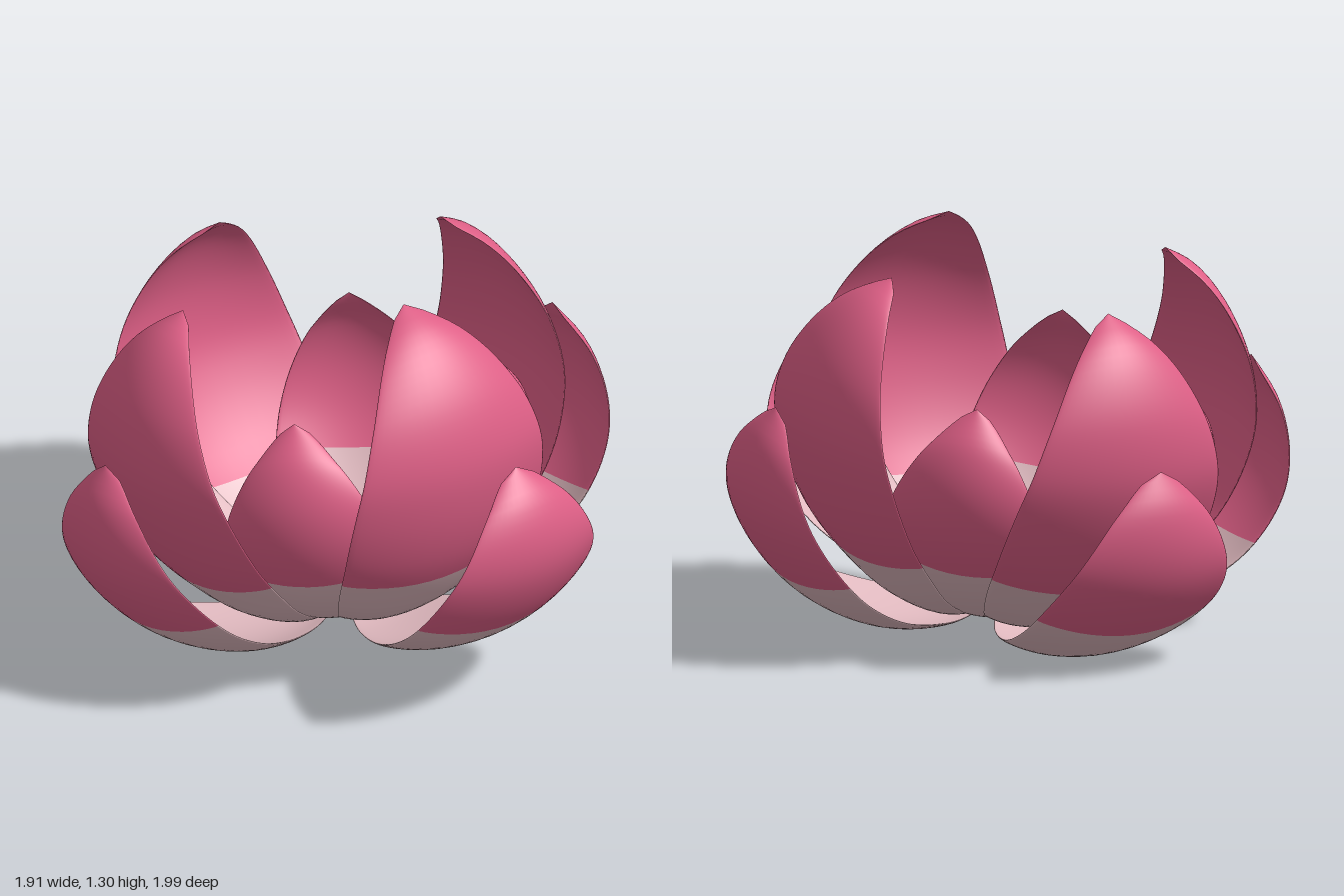
import * as THREE from 'three';

const pink = new THREE.MeshStandardMaterial({ name: 'petalPink', color: 0xde5f86 });
const pale = new THREE.MeshStandardMaterial({ name: 'petalPale', color: 0xdfb8be });
const gold = new THREE.MeshStandardMaterial({ name: 'centreGold', color: 0xdfb83f });

// Each ring: profile of (radius, height) along the petal's spine, plus width and cup
const outer = {
  path: [[0.04, 0.11], [0.25, 0.075], [0.5, 0.1], [0.7, 0.19], [0.84, 0.32], [0.93, 0.47], [0.955, 0.6], [0.935, 0.73], [0.87, 0.84]],
  width: 0.325, cup: 0.075, skew: 1.15, round: 0.6, split: 0.56,
};
const middle = {
  path: [[0.04, 0.11], [0.25, 0.115], [0.4, 0.18], [0.52, 0.28], [0.64, 0.42], [0.73, 0.6], [0.77, 0.77], [0.75, 0.95], [0.68, 1.1], [0.6, 1.19], [0.5, 1.245]],
  width: 0.37, cup: 0.08, skew: 1, round: 0.68, split: 0.35,
};
const inner = {
  path: [[0.04, 0.12], [0.28, 0.15], [0.48, 0.28], [0.61, 0.47], [0.65, 0.65], [0.62, 0.8], [0.53, 0.92]],
  width: 0.275, cup: 0.075, skew: 1, round: 0.65, split: 0.5,
};

// Cupped petal: thin closed cross-sections swept along the spine
function petalGeometry({ path, width, cup, skew, round, split }, rScale, hScale) {
  const spine = new THREE.CatmullRomCurve3(path.map(([r, h]) => new THREE.Vector3(0, h * hScale, r * rScale)));
  const rows = 50, sides = 40, thick = 0.016;
  const pos = [], index = [];
  for (let i = 0; i <= rows; i++) {
    const t = i / rows;
    const p = spine.getPointAt(t), d = spine.getTangentAt(t);
    const bell = Math.max(0, Math.sin(Math.PI * Math.pow(t, skew)));
    const fill = Math.pow(bell, round);
    const th = thick * Math.pow(bell, 0.4);
    for (let j = 0; j < sides; j++) {
      const a = (j / sides) * Math.PI * 2;
      const s = Math.cos(a);
      const lift = cup * s * s * fill + th * (1 + Math.sin(a));
      pos.push(width * fill * s, p.y + d.z * lift, p.z - d.y * lift);
    }
  }
  for (let i = 0; i < rows; i++) {
    for (let j = 0; j < sides; j++) {
      const a = i * sides + j, b = i * sides + ((j + 1) % sides);
      index.push(a, b, a + sides, b, b + sides, a + sides);
    }
  }
  const geo = new THREE.BufferGeometry();
  geo.setAttribute('position', new THREE.Float32BufferAttribute(pos, 3));
  geo.setIndex(index);
  geo.computeVertexNormals();
  // Pale base, pink upper part
  const cut = Math.round(split * rows) * sides * 6;
  geo.addGroup(0, cut, 0);
  geo.addGroup(cut, index.length - cut, 1);
  return geo;
}

export function createModel() {
  const model = new THREE.Group();
  model.name = 'flower';
  const bloom = new THREE.Group();
  bloom.name = 'bloom';
  model.add(bloom);

  const addPetal = (name, ring, angle, rScale = 1, hScale = 1) => {
    const petal = new THREE.Mesh(petalGeometry(ring, rScale, hScale), [pale, pink]);
    petal.name = name;
    petal.rotation.y = angle;
    bloom.add(petal);
  };

  const q = Math.PI / 2;
  // Outer ring, front petal opened a little further
  addPetal('outerPetalFront', outer, 0.06, 1.1, 0.95);
  addPetal('outerPetalLeft', outer, q - 0.03);
  addPetal('outerPetalBack', outer, 2 * q + 0.02);
  addPetal('outerPetalRight', outer, -q + 0.03);
  // Tall middle ring and short diagonal inner ring
  ['Front', 'Left', 'Back', 'Right'].forEach((side, i) => addPetal('middlePetal' + side, middle, i * q));
  ['FrontLeft', 'BackLeft', 'BackRight', 'FrontRight'].forEach((side, i) => addPetal('innerPetal' + side, inner, (i + 0.5) * q));

  // Flattened golden centre
  const centre = new THREE.Mesh(new THREE.SphereGeometry(0.255, 40, 24), gold);
  centre.name = 'flowerCentre';
  centre.scale.y = 0.52;
  centre.position.set(0, 0.25, 0.01);
  bloom.add(centre);

  // Whole bloom leans slightly backward and rests on the ground
  bloom.rotation.x = -THREE.MathUtils.degToRad(9.5);
  bloom.position.z = 0.05;
  const box = new THREE.Box3().setFromObject(model, true);
  bloom.position.y -= box.min.y;
  bloom.position.z -= (box.min.z + box.max.z) / 2;
  return model;
}
